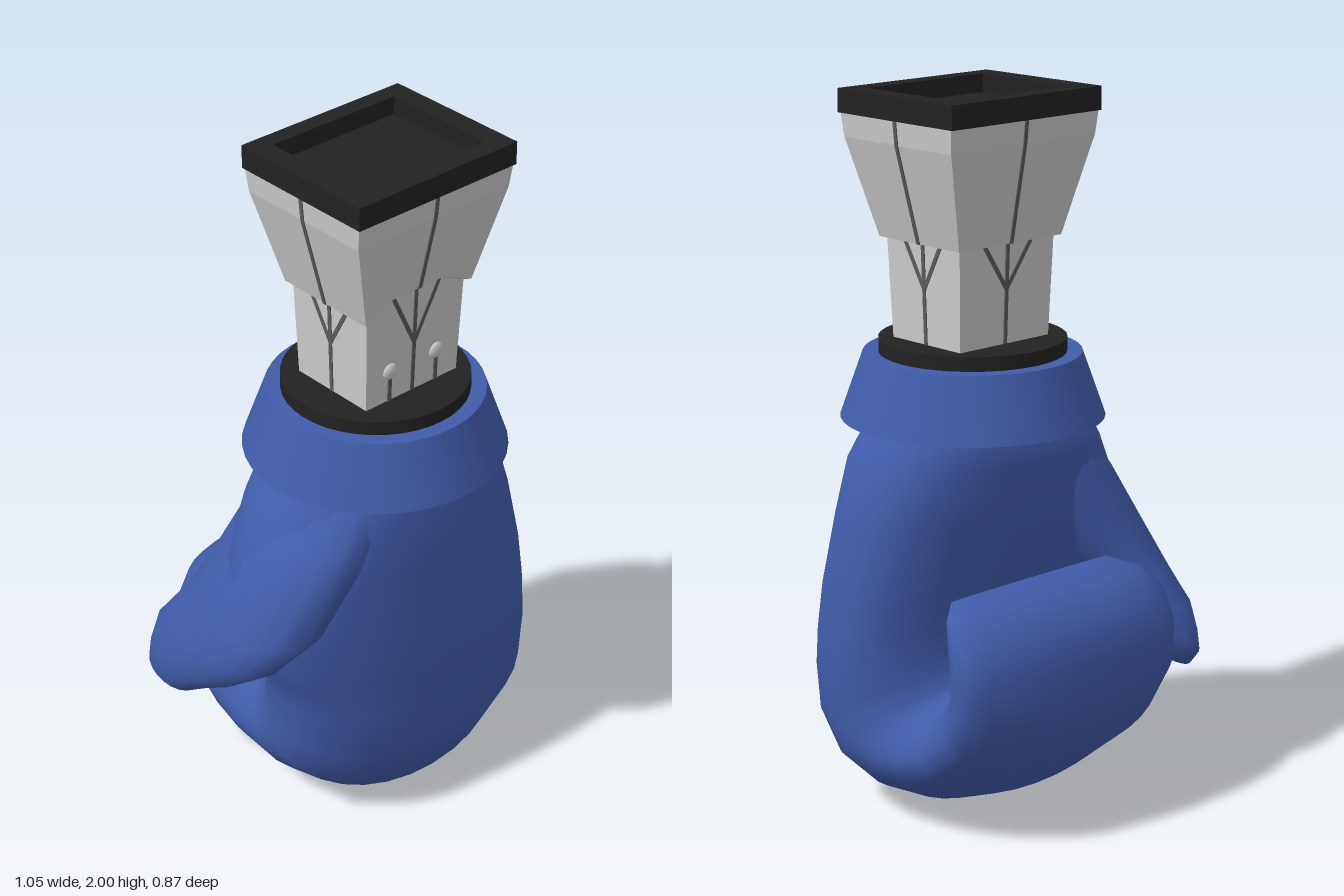
import * as THREE from 'three';

const blue = new THREE.MeshStandardMaterial({ color: 0x405dab });
const dark = new THREE.MeshStandardMaterial({ color: 0x222222 });
const groove = new THREE.MeshStandardMaterial({ color: 0x5c5c5c });
const grey = new THREE.MeshStandardMaterial({ color: 0xcccccc, flatShading: true });
const smoothGrey = new THREE.MeshStandardMaterial({ color: 0xcccccc });
const CX = 0.07, CZ = 0.07; // arm axis

function add(parent, name, geometry, material, x = 0, y = 0, z = 0) {
  const mesh = new THREE.Mesh(geometry, material);
  mesh.name = name;
  mesh.position.set(x, y, z);
  parent.add(mesh);
  return mesh;
}

// Skin closed rings of Vector3, with a centre point closing each end
function loft(rings) {
  const n = rings[0].length, m = rings.length, pts = rings.flat();
  const centre = r => r.reduce((s, p) => s.add(p), new THREE.Vector3()).divideScalar(n);
  pts.push(centre(rings[0]), centre(rings[m - 1]));
  const index = [];
  for (let j = 0; j < n; j++) {
    const k = (j + 1) % n;
    for (let i = 0; i < m - 1; i++) {
      const a = i * n + j, b = i * n + k;
      index.push(a, b, a + n, b, b + n, a + n);
    }
    index.push(m * n, k, j, m * n + 1, (m - 1) * n + j, (m - 1) * n + k);
  }
  // Turn the faces outward
  let volume = 0;
  const cross = new THREE.Vector3();
  for (let i = 0; i < index.length; i += 3) {
    volume += pts[index[i]].dot(cross.crossVectors(pts[index[i + 1]], pts[index[i + 2]]));
  }
  if (volume < 0) index.reverse();
  const g = new THREE.BufferGeometry().setFromPoints(pts);
  g.setIndex(index);
  g.computeVertexNormals();
  return g;
}

const power = (v, e) => Math.sign(v) * Math.abs(v) ** e;

// Mitten: sections from wrist round the knuckles to the curled fingertips
// outer y, z, inner y, z, min x, max x, roundness (1 is an ellipse)
function mitten() {
  const sections = [
    [1.15, 0.28, 1.15, -0.15, -0.24, 0.35, 0.85],
    [1.00, 0.33, 1.00, -0.17, -0.35, 0.44, 0.85],
    [0.85, 0.345, 0.85, -0.15, -0.44, 0.485, 0.87],
    [0.66, 0.365, 0.66, -0.115, -0.445, 0.515, 0.88],
    [0.52, 0.375, 0.55, -0.095, -0.38, 0.522, 0.88],
    [0.40, 0.378, 0.49, -0.09, -0.352, 0.525, 0.88],
    [0.23, 0.377, 0.445, -0.10, -0.345, 0.515, 0.88],
    [0.07, 0.31, 0.425, -0.12, -0.335, 0.50, 0.97],
    [0.0, 0.14, 0.42, -0.13, -0.33, 0.49, 1.05],
    [0.018, -0.05, 0.42, -0.14, -0.33, 0.485, 1.05],
    [0.08, -0.20, 0.425, -0.15, -0.33, 0.48, 1],
    [0.20, -0.345, 0.44, -0.17, -0.33, 0.475, 0.95],
    [0.36, -0.43, 0.48, -0.185, -0.33, 0.475, 0.9],
    [0.50, -0.433, 0.54, -0.185, -0.33, 0.475, 0.87],
    [0.61, -0.395, 0.59, -0.175, -0.315, 0.465, 0.87],
    [0.67, -0.305, 0.63, -0.16, -0.28, 0.43, 0.87],
    [0.69, -0.20, 0.66, -0.15, -0.22, 0.37, 0.87],
  ];
  return loft(sections.map(([oy, oz, iy, iz, x0, x1, e]) => {
    const ring = [];
    for (let j = 0; j < 32; j++) {
      const a = j / 32 * Math.PI * 2;
      const u = power(Math.cos(a), e), v = power(Math.sin(a), e) / 2 + 0.5;
      ring.push(new THREE.Vector3((x0 + x1) / 2 + u * (x1 - x0) / 2, iy + (oy - iy) * v, iz + (oz - iz) * v));
    }
    return ring;
  }));
}

// Thumb: level oval sections skewed toward the palm, x, y, z, half width, half depth
function thumb() {
  const sections = [
    [-0.08, 1.08, 0.08, 0.17, 0.19],
    [-0.17, 0.98, 0.09, 0.185, 0.225],
    [-0.23, 0.90, 0.085, 0.185, 0.245],
    [-0.325, 0.73, 0.045, 0.17, 0.255],
    [-0.385, 0.61, -0.03, 0.135, 0.24],
    [-0.42, 0.52, -0.12, 0.102, 0.21],
    [-0.425, 0.44, -0.19, 0.082, 0.16],
    [-0.437, 0.38, -0.23, 0.06, 0.115],
    [-0.44, 0.335, -0.25, 0.025, 0.055],
  ];
  return loft(sections.map(([x, y, z, rx, rz]) => {
    const ring = [];
    for (let j = 0; j < 20; j++) {
      const a = j / 20 * Math.PI * 2, dz = rz * Math.sin(a);
      ring.push(new THREE.Vector3(x + rx * Math.cos(a) - 0.2 * dz, y, z + dz));
    }
    return ring;
  }));
}

// Rectangular ring; lift raises the middle of its front edge
function rectRing(y, hx, hz, lift = 0) {
  const m = 0.09;
  return [[-hx, hz], [-m, hz, lift], [m, hz, lift], [hx, hz], [hx, -hz], [-hx, -hz]]
    .map(([x, z, up = 0]) => new THREE.Vector3(x, y + up, z));
}

// Thin seam bar between two [x, y, z] points
function seam(parent, a, b) {
  const p = new THREE.Vector3(...a), q = new THREE.Vector3(...b);
  const bar = add(parent, 'seam', new THREE.BoxGeometry(0.012, p.distanceTo(q), 0.006), groove);
  bar.position.copy(p).lerp(q, 0.5);
  bar.quaternion.setFromUnitVectors(new THREE.Vector3(0, 1, 0), q.sub(p).normalize());
}

export function createModel() {
  const model = new THREE.Group();
  model.name = 'boxingGloveArm';

  const glove = new THREE.Group();
  glove.name = 'glove';
  model.add(glove);
  add(glove, 'mitten', mitten(), blue);
  add(glove, 'thumb', thumb(), blue);
  add(glove, 'cuff', new THREE.CylinderGeometry(0.303, 0.367, 0.18, 40), blue, 0.063, 1.187, CZ);
  add(glove, 'wristDisc', new THREE.CylinderGeometry(0.26, 0.26, 0.06, 40), dark, 0.063, 1.287, CZ);

  const arm = new THREE.Group();
  arm.name = 'arm';
  arm.position.set(CX, 0, CZ);
  model.add(arm);
  add(arm, 'forearm', loft([rectRing(1.3, 0.163, 0.135), rectRing(1.66, 0.175, 0.148)]), grey);
  add(arm, 'sleeve', loft([
    rectRing(1.597, 0.188, 0.16, 0.045), rectRing(1.87, 0.262, 0.213), rectRing(1.935, 0.268, 0.22),
  ]), grey);

  // Seams on all four faces: half depths at forearm foot, forearm top, sleeve foot, shoulder, top
  const depths = [[0.135, 0.147, 0.16, 0.213, 0.22], [0.163, 0.173, 0.188, 0.262, 0.268]];
  for (let f = 0; f < 4; f++) {
    const face = new THREE.Group();
    face.name = 'faceSeams';
    face.rotation.y = f * Math.PI / 2;
    arm.add(face);
    const [d0, d1, d2, d3, d4] = depths[f % 2];
    const top = f === 0 ? 1.642 : 1.597, spread = f % 2 ? 0.07 : 0.085;
    seam(face, [0, 1.31, d0], [0, top, d1]);
    seam(face, [0, top, d2], [0, 1.87, d3]);
    seam(face, [0, 1.87, d3], [0, 1.935, d4]);
    for (const s of [-1, 1]) seam(face, [0, 1.47, (d0 + d1) / 2], [s * spread, top, d1]);
  }

  // Two small studs low on the front
  for (const s of [-1, 1]) {
    seam(arm, [s * 0.083, 1.31, 0.136], [s * 0.083, 1.39, 0.139]);
    const stud = add(arm, 'stud', new THREE.SphereGeometry(0.024, 16, 10), smoothGrey, s * 0.083, 1.41, 0.139);
    stud.scale.z = 0.5;
  }

  // Square end collar with a recess
  const rim = new THREE.Shape([[-0.272, -0.227], [0.272, -0.227], [0.272, 0.227], [-0.272, 0.227]]
    .map(p => new THREE.Vector2(...p)));
  rim.holes.push(new THREE.Path([[-0.21, -0.175], [-0.21, 0.175], [0.21, 0.175], [0.21, -0.175]]
    .map(p => new THREE.Vector2(...p))));
  const collar = add(arm, 'collar', new THREE.ExtrudeGeometry(rim, { depth: 0.065, bevelEnabled: false }), dark, 0, 1.935, 0);
  collar.rotation.x = -Math.PI / 2;
  add(arm, 'collarFloor', new THREE.BoxGeometry(0.43, 0.012, 0.36), dark, 0, 1.942, 0);

  return model;
}
